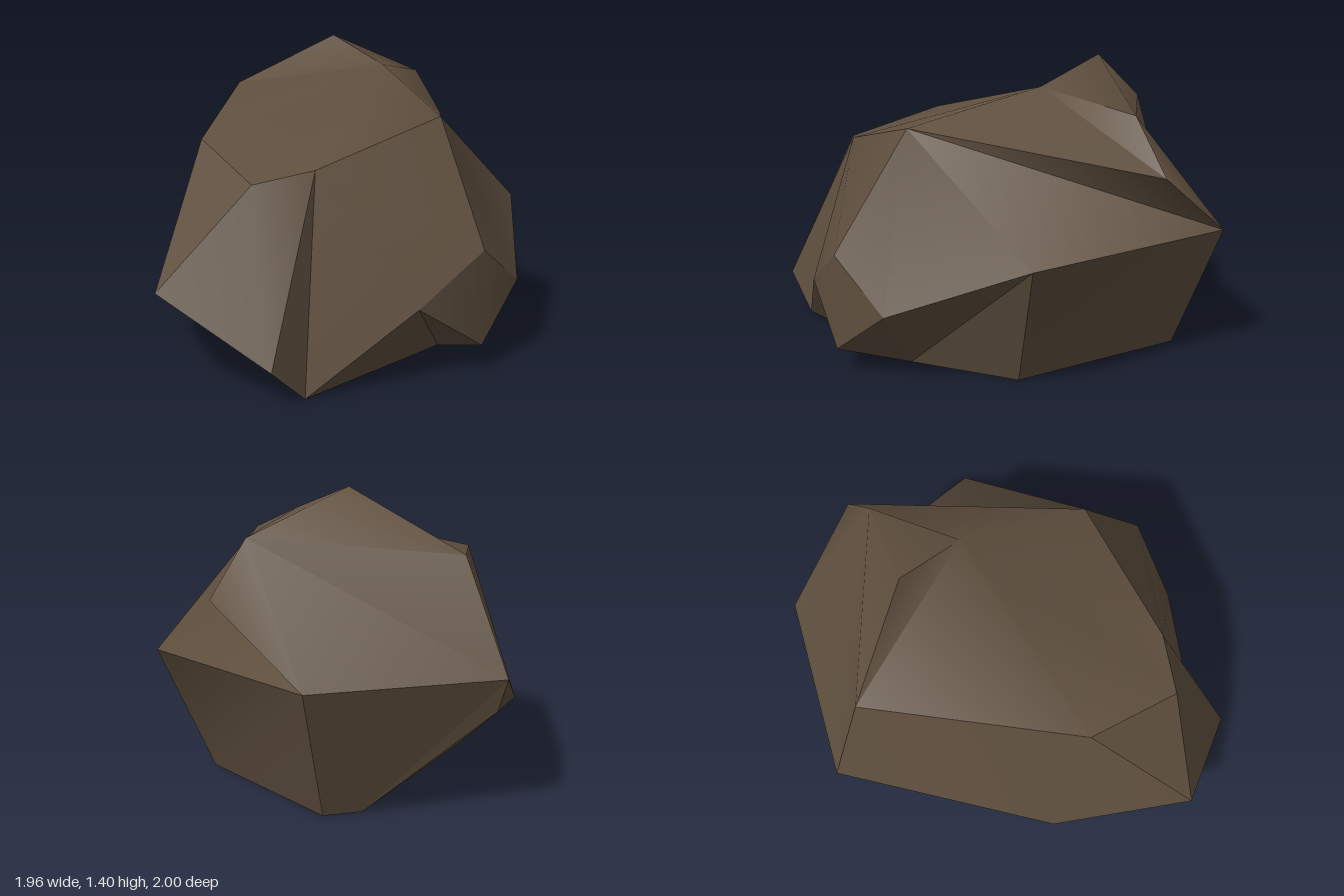
import * as THREE from 'three';
import { toCreasedNormals } from 'three/addons/utils/BufferGeometryUtils.js';

// Corners of the boulder, grouped by region
const P = {
  // front
  cheek: [-0.98, 0.45, 0.64], toe: [-0.56, 0.17, 0.995], foot: [-0.39, 0, 0.91],
  notch: [0.13, 0.35, 0.91], chin: [0.47, 0.57, 0.83], brow: [0.39, 1.12, 0.48],
  browMid: [-0.27, 0.95, 0.67], browLeft: [-0.55, 0.9, 0.65],
  // sides
  hip: [0.98, 0.6, 0.03], knee: [0.73, 0.35, 0.64], jaw: [0.47, 0.12, 0.83],
  flank: [-0.86, 0.24, -0.03], shoulder: [-0.67, 1.02, 0.18],
  // base
  baseFront: [0.4, 0, 0.48], baseSide: [0.71, 0, 0.03], baseBack: [0.39, 0, -0.81],
  baseBack2: [0.21, 0, -0.81], baseLeft: [-0.58, 0, 0.03],
  // back and crown
  backL: [-0.39, 0.6, -1], backR: [0.525, 0.6, -1], tuck: [-0.36, 0.45, -0.96],
  crownL: [-0.26, 1.12, -0.81], peak: [0.17, 1.4, -0.47], crownR: [0.65, 1.19, -0.51],
  ledge: [0.83, 0.94, -0.6], crest: [0.33, 1.28, -0.15],
};

// Top: a ring of corners fanned around the crest
const ring = ['shoulder', 'browLeft', 'browMid', 'brow', 'ledge', 'crownR', 'peak', 'crownL'];
const top = ring.map((name, i) => `crest ${name} ${ring[(i + 1) % ring.length]}`);

// Each part: crease angle, and faces as corner loops, counter-clockwise from outside
const parts = {
  frontSlab: [0.6, [
    'browLeft cheek toe', 'browLeft toe browMid', 'browMid toe foot',
    'browMid foot notch', 'browMid notch chin', 'browMid chin brow',
  ]],
  chinAndUndercut: [0.6, [
    'chin notch jaw knee', 'foot baseFront notch', 'notch baseFront jaw', 'baseFront knee jaw',
  ]],
  rightSide: [1.6, ['brow chin knee hip', 'brow hip backR', 'brow backR ledge']],
  lowerSides: [0.6, [
    'baseFront baseSide hip knee', 'baseSide baseBack backR hip',
    'baseBack baseBack2 backL backR',
  ]],
  leftSide: [0.6, [
    'backL tuck flank', 'tuck baseLeft flank', 'flank baseLeft foot',
    'flank foot toe', 'flank toe cheek', 'cheek browLeft shoulder',
    'flank cheek shoulder', 'flank shoulder crownL', 'flank crownL backL',
  ]],
  underside: [0.9, [
    'backL baseBack2 tuck', 'tuck baseBack2 baseLeft',
    'foot baseLeft baseBack2 baseBack baseSide baseFront',
  ]],
  crown: [1.3, [
    ...top, 'backL crownL crownR', 'backL crownR backR',
    'backR crownR ledge', 'crownL peak crownR',
  ]],
};

// Fan each loop into triangles, softening edges below the crease angle
function facetedGeometry(faces, crease) {
  const positions = [];
  for (const face of faces) {
    const loop = face.split(' ').map((name) => P[name]);
    for (let i = 1; i < loop.length - 1; i++) {
      positions.push(...loop[0], ...loop[i], ...loop[i + 1]);
    }
  }
  const geometry = new THREE.BufferGeometry();
  geometry.setAttribute('position', new THREE.Float32BufferAttribute(positions, 3));
  return toCreasedNormals(geometry, crease);
}

export function createModel() {
  const stone = new THREE.MeshStandardMaterial({ color: 0x5f4f3e });
  stone.name = 'brown stone';

  const group = new THREE.Group();
  group.name = 'rock';
  for (const [name, [crease, faces]] of Object.entries(parts)) {
    const mesh = new THREE.Mesh(facetedGeometry(faces, crease), stone);
    mesh.name = name;
    group.add(mesh);
  }
  return group;
}
